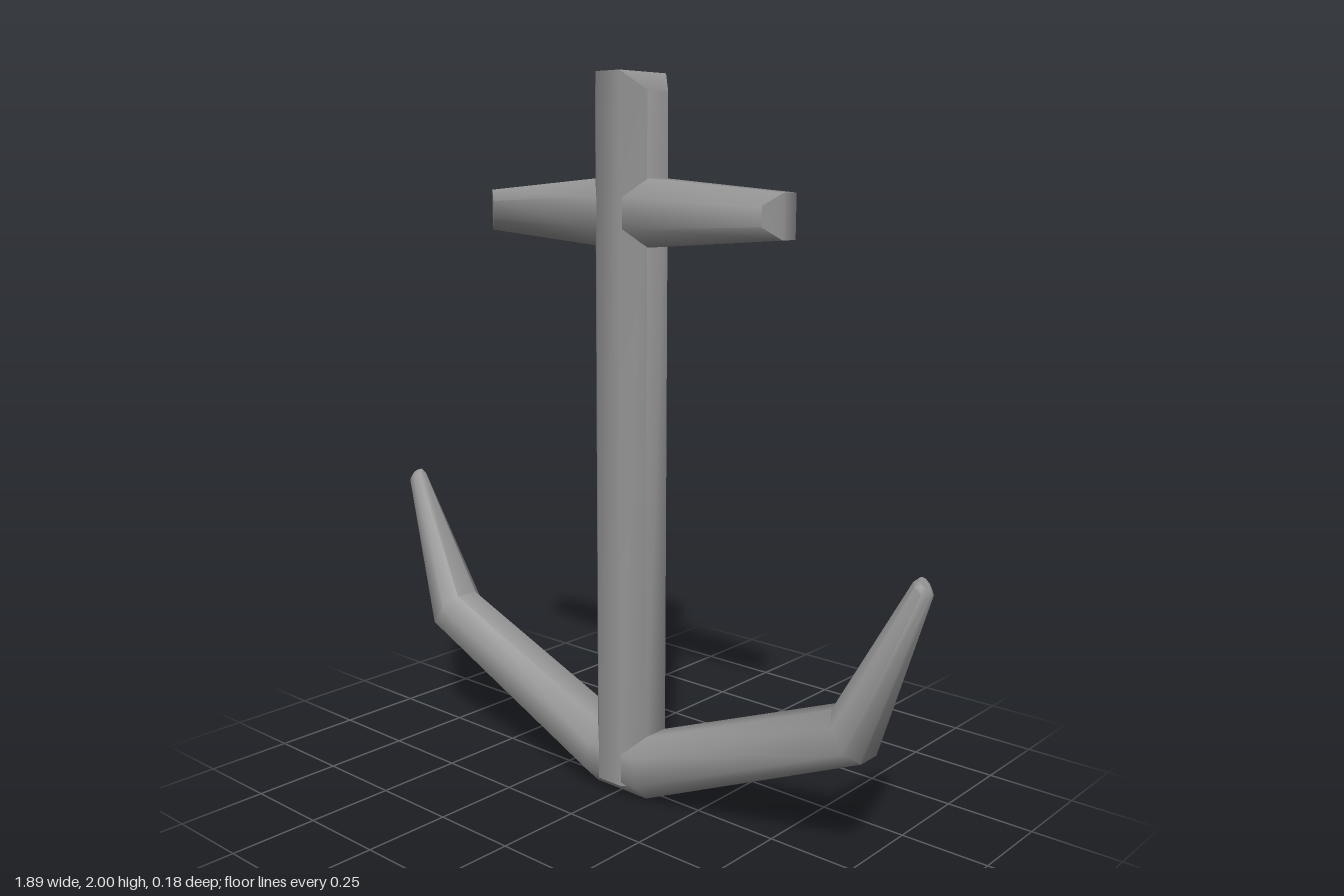
import * as THREE from 'three';
import { toCreasedNormals } from 'three/addons/utils/BufferGeometryUtils.js';

const K = 0.45; // half width of each flat relative to the section
const CORNERS = [[1, K], [K, 1], [-K, 1], [-1, K], [-1, -K], [-K, -1], [K, -1], [1, -K]];

// Eight-sided section: centre c, half axes u and v; the flats on v are shifted by pull
function section(c, u, v, pull = [0, 0, 0]) {
  return CORNERS.map(([a, b]) =>
    c.map((n, i) => n + a * u[i] + b * v[i] + (Math.abs(b) === 1 ? pull[i] : 0)));
}

// Skin a row of sections and close both ends
function loft(name, rings, material) {
  const index = [];
  const quad = (a, b, c, d) => index.push(a, b, c, a, c, d);
  for (let r = 0; r < rings.length - 1; r++) {
    for (let j = 0; j < 8; j++) {
      const k = (j + 1) % 8;
      quad(r * 8 + j, r * 8 + k, r * 8 + 8 + k, r * 8 + 8 + j);
    }
  }
  const e = (rings.length - 1) * 8;
  for (const [a, b, c, d] of [[0, 1, 2, 3], [0, 3, 4, 7], [4, 5, 6, 7]]) {
    quad(e + a, e + b, e + c, e + d);
    quad(d, c, b, a);
  }
  const geometry = new THREE.BufferGeometry();
  geometry.setAttribute('position', new THREE.Float32BufferAttribute(rings.flat(2), 3));
  geometry.setIndex(index);
  const mesh = new THREE.Mesh(toCreasedNormals(geometry, 0.9), material);
  mesh.name = name;
  return mesh;
}

export function createModel() {
  const iron = new THREE.MeshStandardMaterial({ color: 0x949494 });
  iron.name = 'grey iron';
  const group = new THREE.Group();
  group.name = 'anchor';

  // Upright shank with a roof-like bevel on its top
  const W = 0.092;
  group.add(loft('shank', [
    section([0, 0.04, 0], [0, 0, W], [W, 0, 0]),
    section([0, 2, 0], [0, 0, W], [W, 0, 0], [0, -0.05, 0]),
  ], iron));

  // Tapered crossbar with bevelled ends
  const bar = (x, y, h, d, pull) => section([x, y, 0], [0, h, 0], [0, 0, d], [pull, 0, 0]);
  group.add(loft('crossbar', [
    bar(-0.515, 1.637, 0.057, 0.06, 0.04),
    bar(-0.08, 1.638, 0.09, 0.088, 0),
    bar(0.08, 1.638, 0.09, 0.088, 0),
    bar(0.515, 1.637, 0.057, 0.06, -0.04),
  ], iron));

  // Both arms: outer point, inner point and half depth, from crown to tip
  const half = [
    [0.093, 0, 0.093, 0.185, 0.091],
    [0.79, 0.31, 0.70, 0.43, 0.08],
    [0.943, 0.765, 0.90, 0.795, 0.026],
    [0.935, 0.785, 0.912, 0.806, 0.016],
  ];
  const armRing = (side) => ([ox, oy, ix, iy, d]) => section(
    [side * (ox + ix) / 2, (oy + iy) / 2, 0],
    [side * (ix - ox) / 2, (iy - oy) / 2, 0],
    [0, 0, d]);
  group.add(loft('arms', [
    ...half.map(armRing(-1)).reverse(),
    ...half.map(armRing(1)),
  ], iron));

  return group;
}
